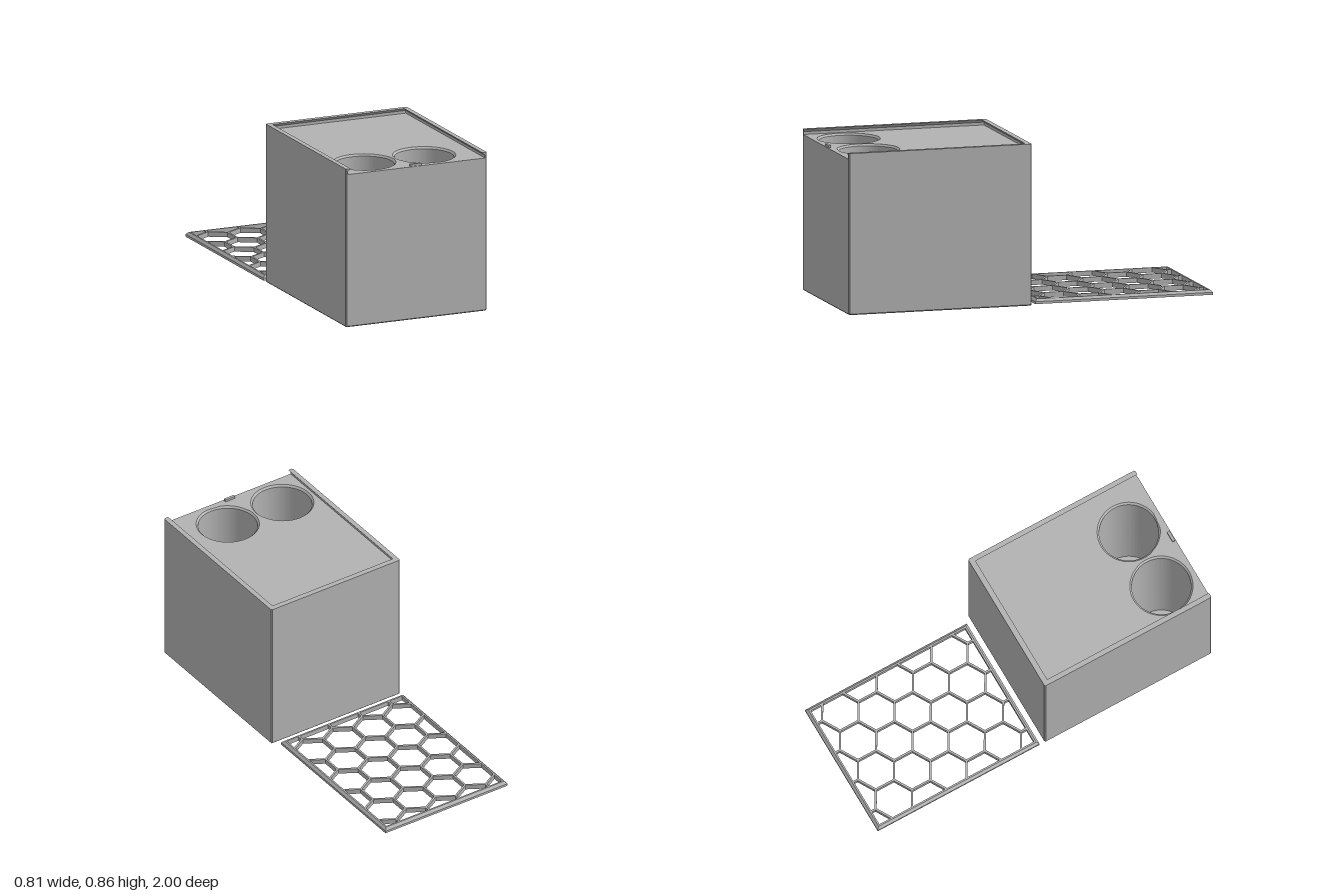
import * as THREE from 'three';
import { toCreasedNormals } from 'three/addons/utils/BufferGeometryUtils.js';

// Extrudes an outline of [x, z] points upward through the levels in ys.
// move(x, z, level) may return a shifted [x, z] to form chamfers and tapers.
function slab(name, material, outline, holes, ys, move) {
  const shape = new THREE.Shape(outline.map(([x, z]) => new THREE.Vector2(x, -z)));
  shape.holes = holes;
  const n = ys.length - 1;
  const geo = new THREE.ExtrudeGeometry(shape, { depth: 1, steps: n, bevelEnabled: false, curveSegments: 64 });
  geo.rotateX(-Math.PI / 2);
  const p = geo.attributes.position;
  for (let i = 0; i < p.count; i++) {
    const level = Math.round(p.getY(i) * n);
    const [x, z] = move(p.getX(i), p.getZ(i), level);
    p.setXYZ(i, x, ys[level], z);
  }
  const mesh = new THREE.Mesh(toCreasedNormals(geo, 0.5), material);
  mesh.name = name;
  return mesh;
}

// Clips a convex polygon to a rectangle, one side at a time
function clip(poly, [x0, x1, z0, z1]) {
  const sides = [[0, x0, 1], [0, x1, -1], [1, z0, 1], [1, z1, -1]];
  for (const [axis, limit, sign] of sides) {
    const out = [];
    poly.forEach((a, i) => {
      const b = poly[(i + 1) % poly.length];
      const da = (a[axis] - limit) * sign, db = (b[axis] - limit) * sign;
      if (da >= 0) out.push(a);
      if (da * db < 0) {
        const t = da / (da - db);
        out.push([a[0] + (b[0] - a[0]) * t, a[1] + (b[1] - a[1]) * t]);
      }
    });
    poly = out;
  }
  return poly;
}

const clamp = THREE.MathUtils.clamp;

export function createModel() {
  const model = new THREE.Group();
  model.name = 'boxWithSlidingLid';
  const grey = new THREE.MeshStandardMaterial({ color: 0xb2b2b2 });
  grey.name = 'grey plastic';

  // Box footprint with small corner chamfers
  const W = 0.405, C = 0.006, Z0 = 0, Z1 = 1;
  const footprint = [
    [-W + C, Z1], [W - C, Z1], [W, Z1 - C], [W, Z0 + C],
    [W - C, Z0], [-W + C, Z0], [-W, Z0 + C], [-W, Z1 - C],
  ];
  const floorY = 0.03, deckY = 0.825, topY = 0.855;

  // Base, chamfered along the bottom edge
  model.add(slab('boxBase', grey, footprint, [], [0, C, floorY], (x, z, level) =>
    level === 0 ? [clamp(x, -W + C, W - C), clamp(z, Z0 + C, Z1 - C)] : [x, z]));

  // Body with two round wells, flared at the mouth
  const wells = [[-0.211, 0.809], [0.132, 0.809]];
  const r = 0.155, flare = 0.165;
  const wellHoles = wells.map(([x, z]) => new THREE.Path().absarc(x, -z, r, 0, Math.PI * 2, true));
  model.add(slab('boxBody', grey, footprint, wellHoles, [floorY, deckY - 0.01, deckY], (x, z, level) => {
    if (level === 2) {
      for (const [cx, cz] of wells) {
        const d = Math.hypot(x - cx, z - cz);
        if (d < r + 0.001) return [cx + (x - cx) * flare / d, cz + (z - cz) * flare / d];
      }
    }
    return [x, z];
  }));

  // Three-sided rim with an undercut groove, open at the front
  const G = 0.393, back = 0.015, under = 0.015;
  const rimOutline = [
    [G, Z1], [W - C, Z1], [W, Z1 - C], [W, Z0 + C], [W - C, Z0], [-W + C, Z0],
    [-W, Z0 + C], [-W, Z1 - C], [-W + C, Z1], [-G, Z1], [-G, back], [G, back],
  ];
  model.add(slab('grooveRim', grey, rimOutline, [], [deckY, 0.84, topY], (x, z, level) => {
    const inner = Math.abs(x) < G + 0.001 && z > back - 0.001;
    if (level < 2 || !inner) return [x, z];
    return [clamp(x, -G + under, G - under), Math.max(z, back + under)];
  }));

  // Latch nub at the open end of the groove
  const nub = new THREE.Mesh(new THREE.BoxGeometry(0.06, 0.012, 0.015), grey);
  nub.name = 'latchNub';
  nub.position.set(0, deckY + 0.006, 0.987);
  model.add(nub);

  // Lid lying behind the box: bevelled frame filled with a hexagon grid
  const lid = [-0.403, 0.365, -1, -0.03];
  const inset = 0.022, bevel = 0.013;
  const opening = [lid[0] + inset, lid[1] - inset, lid[2] + inset, lid[3] - inset];
  const pitch = 0.188, rowStep = 0.1635, hexR = pitch / Math.sqrt(3) - 0.006;
  const cells = [];
  for (let row = 0; row < 7; row++) {
    for (let col = 0; col < 5; col++) {
      const cx = -0.298 + (col - (row % 2 ? 0 : 0.5)) * pitch;
      const cz = -1.008 + row * rowStep;
      const hex = [];
      for (let k = 0; k < 6; k++) {
        const a = Math.PI / 6 + k * Math.PI / 3;
        hex.push([cx + hexR * Math.cos(a), cz + hexR * Math.sin(a)]);
      }
      const cell = clip(hex, opening);
      if (cell.length > 2) cells.push(new THREE.Path(cell.map(([x, z]) => new THREE.Vector2(x, -z))));
    }
  }
  const [lx0, lx1, lz0, lz1] = lid;
  const lidOutline = [[lx0, lz1], [lx1, lz1], [lx1, lz0], [lx0, lz0]];
  model.add(slab('hexGridLid', grey, lidOutline, cells, [0, 0.013, 0.026], (x, z, level) =>
    level === 2 ? [clamp(x, lx0 + bevel, lx1 - bevel), clamp(z, lz0 + bevel, lz1 - bevel)] : [x, z]));

  return model;
}
